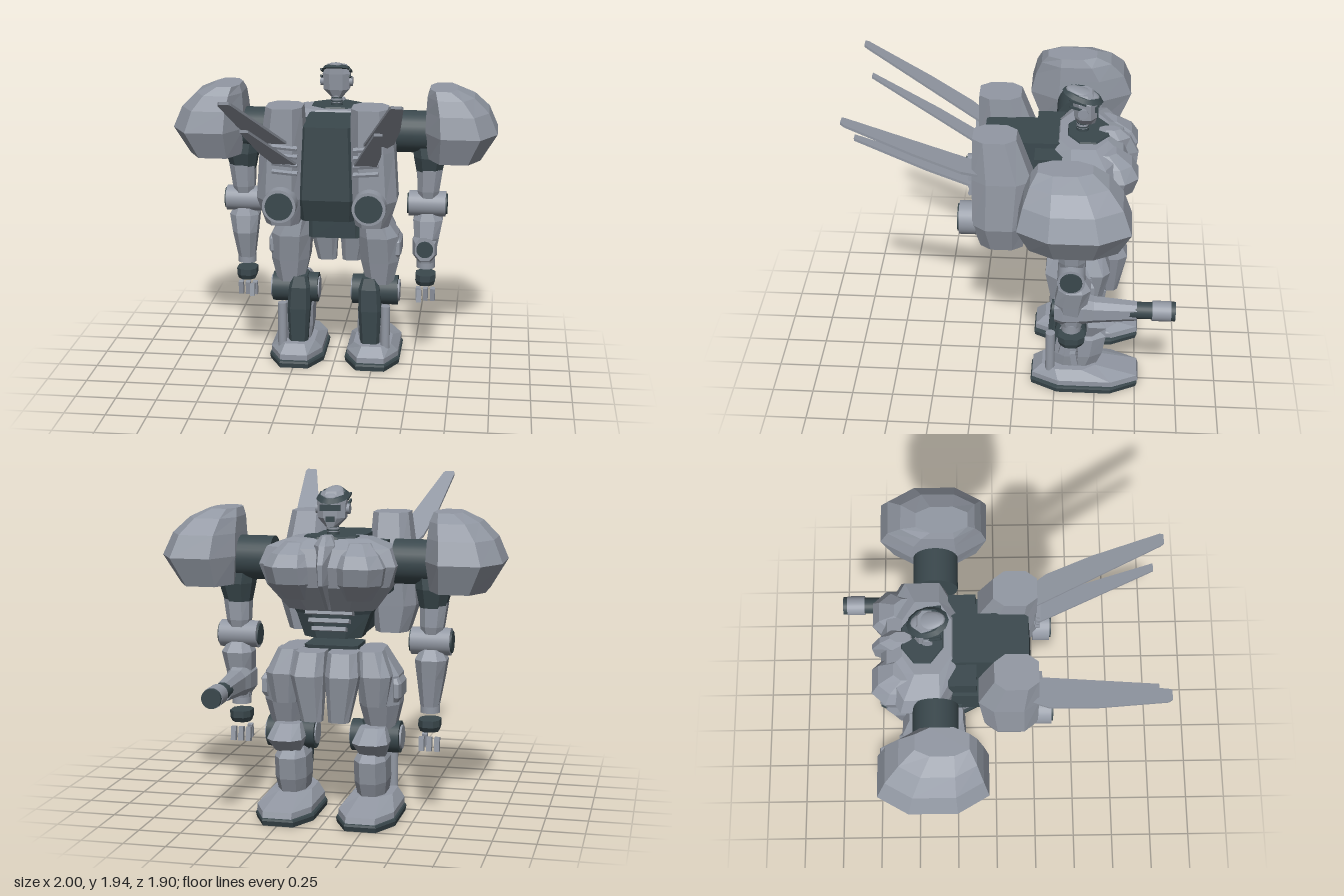
import * as THREE from 'three';

const armour = new THREE.MeshStandardMaterial({ color: 0x9298a3 });
armour.name = 'light armour grey';
const frame = new THREE.MeshStandardMaterial({ color: 0x3a484d });
frame.name = 'dark frame slate';

export function createModel() {
  const root = new THREE.Group();
  root.name = 'walkingRobot';

  const add = (name, geo, mat) => {
    const m = new THREE.Mesh(geo, mat);
    m.name = name;
    root.add(m);
    return m;
  };

  // Faceted body through chamfered rings [y, x0, x1, z0, z1]; s = -1 mirrors it.
  // axis 'z' lays it forward: rings become [-z, x0, x1, y0, y1].
  function loft(name, mat, s, rings, fx = 0.25, fz = 0.25, axis = 'y') {
    const pos = [], idx = [];
    for (const [y, a, b, z0, z1] of rings) {
      const x0 = s < 0 ? -b : a, x1 = s < 0 ? -a : b;
      const cx = (x1 - x0) * fx, cz = (z1 - z0) * fz;
      for (const [x, z] of [[x0 + cx, z1], [x1 - cx, z1], [x1, z1 - cz], [x1, z0 + cz],
        [x1 - cx, z0], [x0 + cx, z0], [x0, z0 + cz], [x0, z1 - cz]]) pos.push(x, y, z);
    }
    const top = (rings.length - 1) * 8;
    for (let r = 0; r < top; r += 8) {
      for (let i = 0; i < 8; i++) {
        const j = (i + 1) % 8;
        idx.push(r + i, r + j, r + 8 + j, r + i, r + 8 + j, r + 8 + i);
      }
    }
    for (let i = 1; i < 7; i++) idx.push(0, i + 1, i, top, top + i, top + i + 1);
    let g = new THREE.BufferGeometry();
    g.setAttribute('position', new THREE.Float32BufferAttribute(pos, 3));
    g.setIndex(idx);
    g = g.toNonIndexed();
    if (axis === 'z') g.rotateX(-Math.PI / 2);
    g.computeVertexNormals();
    return add(name, g, mat);
  }

  // Cylinder along an axis, centred on (x, y, z)
  function cyl(name, mat, axis, r, len, x, y, z, r2 = r) {
    const g = new THREE.CylinderGeometry(r2, r, len, 28);
    if (axis === 'x') g.rotateZ(-Math.PI / 2);
    if (axis === 'z') g.rotateX(Math.PI / 2);
    return add(name, g.translate(x, y, z), mat);
  }

  function box(name, mat, w, h, d, x, y, z, rx = 0, rz = 0) {
    const m = add(name, new THREE.BoxGeometry(w, h, d), mat);
    m.position.set(x, y, z);
    m.rotation.set(rx, 0, rz);
    return m;
  }

  // Thin blade drawn in plan (x, z), then sheared so it climbs toward +z
  function blade(name, s, pts, base, slope) {
    const shape = new THREE.Shape(pts.map(([x, z]) => new THREE.Vector2(s * x, z)));
    const g = new THREE.ExtrudeGeometry(shape, { depth: 0.016, bevelEnabled: false });
    g.rotateX(Math.PI / 2);
    const p = g.attributes.position;
    for (let i = 0; i < p.count; i++) p.setY(i, p.getY(i) + base + slope * p.getZ(i));
    g.computeVertexNormals();
    add(name, g, armour);
  }

  // Torso, waist and pelvis
  loft('pelvis', frame, 1, [[0.84, -0.16, 0.16, -0.42, -0.22], [1.02, -0.16, 0.16, -0.46, -0.21]], 0.08, 0.1);
  loft('abdomen', frame, 1, [[1.06, -0.17, 0.17, -0.45, -0.21], [1.2, -0.22, 0.22, -0.46, -0.17],
    [1.36, -0.32, 0.32, -0.5, -0.11]]);
  for (let i = 0; i < 3; i++) box('abdomenSlat', armour, 0.2 + i * 0.04, 0.024, 0.06, 0, 1.12 + i * 0.048, -0.475, 0.25);
  loft('chest', armour, 1, [[1.23, -0.25, 0.25, -0.51, -0.24], [1.38, -0.36, 0.36, -0.63, -0.2],
    [1.5, -0.4, 0.4, -0.66, -0.2], [1.6, -0.36, 0.36, -0.62, -0.22], [1.65, -0.22, 0.22, -0.53, -0.25]]);
  loft('sternum', armour, 1, [[1.24, -0.03, 0.03, -0.54, -0.4], [1.4, -0.04, 0.04, -0.7, -0.4],
    [1.52, -0.05, 0.05, -0.71, -0.4], [1.62, -0.06, 0.06, -0.66, -0.45], [1.67, -0.03, 0.03, -0.6, -0.48]], 0.35, 0.3);
  loft('collar', frame, 1, [[1.62, -0.17, 0.17, -0.55, -0.28], [1.66, -0.15, 0.15, -0.53, -0.3]], 0.3, 0.3);
  loft('backpackCore', frame, 1, [[1.06, -0.16, 0.16, -0.2, 0.16], [1.2, -0.17, 0.17, -0.25, 0.21],
    [1.64, -0.15, 0.15, -0.27, 0.19]], 0.08, 0.08);
  box('backpackShelf', frame, 0.56, 0.3, 0.16, 0, 1.46, -0.19);

  // Head: neck, jaw, face, visor and tilted helmet brim
  cyl('neck', frame, 'y', 0.04, 0.13, 0, 1.69, -0.38, 0.03);
  for (let i = 0; i < 3; i++) cyl('neckRing', armour, 'y', 0.036, 0.012, 0, 1.675 + i * 0.022, -0.38);
  loft('face', armour, 1, [[1.71, -0.035, 0.035, -0.45, -0.35], [1.76, -0.08, 0.08, -0.46, -0.33],
    [1.86, -0.085, 0.085, -0.46, -0.32], [1.91, -0.06, 0.06, -0.43, -0.32]]);
  box('visor', frame, 0.12, 0.035, 0.02, 0, 1.82, -0.458);
  box('mouthVent', frame, 0.05, 0.03, 0.02, 0, 1.755, -0.458);
  const brim = add('helmetBrim', new THREE.CylinderGeometry(0.075, 0.095, 0.022, 12), frame);
  brim.scale.set(1, 1, 1.32);
  brim.position.set(0, 1.89, -0.38);
  brim.rotation.x = -0.3;
  const crown = add('helmetCrown', new THREE.SphereGeometry(0.065, 16, 8), armour);
  crown.scale.set(0.9, 0.35, 1.6);
  crown.position.set(0, 1.9, -0.375);
  crown.rotation.x = -0.3;

  for (const s of [1, -1]) {
    cyl('earDisc', armour, 'x', 0.03, 0.02, s * 0.09, 1.81, -0.38);
    for (const y of [1.84, 1.88]) box('helmetVane', frame, 0.012, 0.012, 0.1, s * 0.088, y, -0.35, -0.3);

    // Pectoral plates
    loft('pectoral', armour, s, [[1.3, 0.08, 0.26, -0.57, -0.4], [1.4, 0.06, 0.33, -0.68, -0.4],
      [1.5, 0.06, 0.35, -0.71, -0.4], [1.57, 0.08, 0.31, -0.67, -0.4], [1.63, 0.11, 0.25, -0.58, -0.4]]);

    // Thruster pods with louvres and nozzles
    loft('thrusterPod', armour, s, [[1.035, 0.17, 0.37, -0.05, 0.2], [1.2, 0.14, 0.42, -0.07, 0.245],
      [1.5, 0.135, 0.4, -0.1, 0.245], [1.755, 0.145, 0.36, -0.01, 0.24]], 0.22, 0.25);
    cyl('nozzleRim', armour, 'z', 0.1, 0.1, s * 0.265, 1.19, 0.275);
    cyl('nozzle', frame, 'z', 0.082, 0.1, s * 0.265, 1.19, 0.285);
    for (let i = 0; i < 4; i++) box('podLouvre', armour, 0.15, 0.016, 0.03, s * 0.24, 1.38 + i * 0.05, 0.25, 0.4, s * 0.1);
    box('podBracket', frame, 0.1, 0.2, 0.2, s * 0.25, 1.4, -0.15);

    // Swept blades
    blade('upperBlade', s, [[0.2, 0.15], [0.33, 0.15], [0.41, 0.3], [0.46, 0.56], [0.5, 0.93], [0.49, 0.95], [0.435, 0.95], [0.425, 0.93]], 1.435, 0.535);
    blade('lowerBlade', s, [[0.165, 0.23], [0.3, 0.23], [0.35, 0.5], [0.387, 0.9], [0.342, 0.9]], 1.31, 0.523);

    // Shoulder joint and pad
    cyl('shoulderJoint', frame, 'x', 0.13, 0.26, s * 0.49, 1.51, -0.345);
    cyl('shoulderCollar', armour, 'x', 0.11, 0.06, s * 0.4, 1.51, -0.345);
    loft('shoulderPad', armour, s, [[1.36, 0.58, 0.9, -0.6, -0.11], [1.53, 0.56, 1, -0.67, -0.045],
      [1.66, 0.565, 0.945, -0.62, -0.075], [1.75, 0.57, 0.855, -0.54, -0.11], [1.8, 0.585, 0.75, -0.45, -0.15]], 0.23, 0.28);

    // Upper arm and elbow
    loft('upperArmCore', frame, s, [[1.25, 0.51, 0.66, -0.42, -0.27], [1.36, 0.49, 0.69, -0.45, -0.24],
      [1.46, 0.48, 0.67, -0.44, -0.25]]);
    loft('upperArm', armour, s, [[1.06, 0.53, 0.63, -0.4, -0.29], [1.14, 0.515, 0.65, -0.42, -0.27],
      [1.28, 0.51, 0.67, -0.42, -0.26]]);
    cyl('elbow', armour, 'x', 0.08, 0.23, s * 0.577, 1.05, -0.345);
    cyl('elbowPin', frame, 'x', 0.064, 0.25, s * 0.577, 1.05, -0.345);

    // Forearm, wrist and fingers
    loft('forearm', armour, s, [[0.67, 0.52, 0.625, -0.41, -0.29], [0.84, 0.5, 0.655, -0.44, -0.25],
      [0.95, 0.49, 0.675, -0.46, -0.27], [1.01, 0.52, 0.64, -0.42, -0.29]]);
    cyl('forearmCuff', armour, 'y', 0.058, 0.06, s * 0.573, 0.66, -0.35);
    loft('wrist', frame, s, [[0.52, 0.52, 0.625, -0.41, -0.29], [0.55, 0.51, 0.635, -0.43, -0.275],
      [0.59, 0.51, 0.635, -0.43, -0.275]]);
    for (let i = -1; i <= 1; i++) box('finger', armour, 0.03, 0.085, 0.035, s * (0.573 + i * 0.046), 0.442, -0.37, 0.15);
    box('thumb', armour, 0.03, 0.08, 0.03, s * 0.535, 0.45, -0.3, -0.2);

    // Hip, thigh and front skirt
    cyl('hipJoint', frame, 'x', 0.07, 0.1, s * 0.17, 0.92, -0.34);
    loft('thigh', armour, s, [[0.53, 0.2, 0.37, -0.44, -0.25], [0.68, 0.165, 0.405, -0.49, -0.22],
      [0.85, 0.15, 0.4, -0.5, -0.185], [1.0, 0.155, 0.3, -0.45, -0.2]]);
    loft('thighSidePad', armour, s, [[0.7, 0.37, 0.4, -0.46, -0.28], [0.73, 0.37, 0.42, -0.48, -0.26],
      [0.81, 0.37, 0.42, -0.48, -0.26], [0.84, 0.37, 0.4, -0.46, -0.28]], 0.2, 0.15);
    loft('frontSkirt', armour, s, [[0.595, 0.02, 0.14, -0.62, -0.53], [0.87, 0.005, 0.2, -0.67, -0.46],
      [1.0, 0.01, 0.18, -0.61, -0.41]], 0.2, 0.25);
    loft('hipPlate', armour, s, [[0.68, 0.2, 0.34, -0.53, -0.4], [0.86, 0.17, 0.37, -0.57, -0.4],
      [1.0, 0.17, 0.31, -0.52, -0.35]]);

    // Knee with pad
    cyl('knee', frame, 'x', 0.095, 0.29, s * 0.255, 0.47, -0.345);
    cyl('kneeCap', armour, 'x', 0.07, 0.31, s * 0.257, 0.47, -0.345);
    loft('kneePad', armour, s, [[0.38, 0.18, 0.33, -0.5, -0.4], [0.47, 0.15, 0.36, -0.615, -0.4],
      [0.55, 0.18, 0.33, -0.51, -0.4]]);

    // Shin, calf spine and piston
    loft('shin', armour, s, [[0.12, 0.16, 0.32, -0.5, -0.23], [0.22, 0.145, 0.335, -0.54, -0.23],
      [0.35, 0.145, 0.335, -0.56, -0.24], [0.4, 0.17, 0.31, -0.5, -0.26]]);
    loft('calfSpine', frame, s, [[0.13, 0.17, 0.29, -0.4, -0.215], [0.36, 0.155, 0.3, -0.4, -0.205],
      [0.5, 0.155, 0.29, -0.4, -0.215], [0.57, 0.175, 0.27, -0.4, -0.24]], 0.15, 0.15);
    cyl('anklePiston', armour, 'y', 0.029, 0.33, s * 0.33, 0.235, -0.22);

    // Foot and sole
    loft('foot', armour, s, [[0.05, 0.08, 0.41, -0.77, -0.11], [0.085, 0.08, 0.41, -0.76, -0.11],
      [0.14, 0.125, 0.365, -0.5, -0.17]], 0.24, 0.25);
    loft('sole', frame, s, [[0, 0.07, 0.415, -0.755, -0.105], [0.03, 0.065, 0.42, -0.765, -0.1],
      [0.042, 0.07, 0.415, -0.76, -0.105]], 0.24, 0.25);
  }

  // Forearm cannon on the left arm only
  loft('cannonBody', armour, 1, [[0.25, 0.51, 0.63, 0.7, 0.85], [0.3, 0.49, 0.645, 0.68, 0.88],
    [0.42, 0.495, 0.64, 0.69, 0.87], [0.48, 0.51, 0.63, 0.7, 0.85], [0.73, 0.525, 0.615, 0.72, 0.83]], 0.25, 0.25, 'z');
  cyl('cannonBreech', frame, 'z', 0.052, 0.03, 0.57, 0.775, -0.25);
  cyl('cannonBarrel', frame, 'z', 0.05, 0.14, 0.57, 0.78, -0.76);
  cyl('cannonMuzzle', armour, 'z', 0.06, 0.11, 0.57, 0.78, -0.875);
  cyl('cannonMouth', frame, 'z', 0.057, 0.04, 0.57, 0.78, -0.935);

  return root;
}
